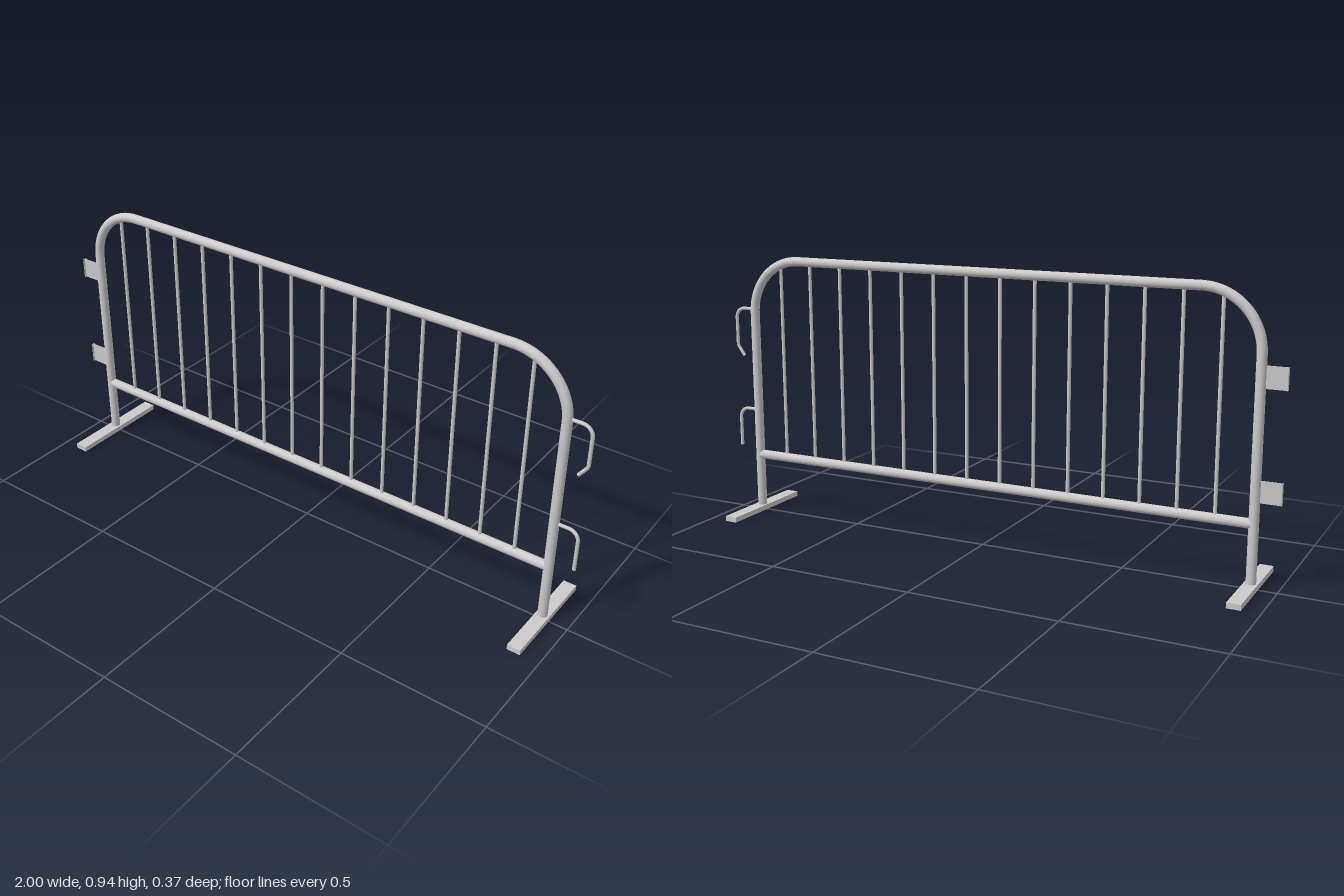
import * as THREE from 'three';

const material = new THREE.MeshStandardMaterial({ color: 0xcccccc });
const thin = new THREE.MeshStandardMaterial({ color: 0xcccccc, side: THREE.DoubleSide });

const LEFT_POST = 0.913, RIGHT_POST = -0.918, TUBE = 0.016;

function add(parent, name, geometry, x = 0, y = 0, z = 0, mat = material) {
  const mesh = new THREE.Mesh(geometry, mat);
  mesh.name = name;
  mesh.position.set(x, y, z);
  parent.add(mesh);
  return mesh;
}

// Polyline in the XY plane with each inner corner rounded off by a bend distance
function bentPath(points, bends) {
  const p = points.map(([x, y]) => new THREE.Vector3(x, y, 0));
  const path = new THREE.CurvePath();
  let from = p[0];
  for (let i = 1; i < p.length - 1; i++) {
    const d = bends[i - 1];
    const a = p[i].clone().add(p[i - 1].clone().sub(p[i]).setLength(d));
    const b = p[i].clone().add(p[i + 1].clone().sub(p[i]).setLength(d));
    path.add(new THREE.LineCurve3(from, a));
    path.add(new THREE.CubicBezierCurve3(a, a.clone().lerp(p[i], 0.5523), b.clone().lerp(p[i], 0.5523), b));
    from = b;
  }
  path.add(new THREE.LineCurve3(from, p[p.length - 1]));
  return path;
}

// Bent rod with a flat cap on its free end
function addHook(parent, name, points, bends) {
  const hook = new THREE.Group();
  hook.name = name;
  const path = bentPath(points, bends);
  add(hook, 'hookRod', new THREE.TubeGeometry(path, 48, 0.006, 10));
  const end = path.getPoint(1);
  const cap = add(hook, 'hookEnd', new THREE.CircleGeometry(0.006, 10), end.x, end.y, 0);
  cap.lookAt(end.clone().add(path.getTangent(1)));
  parent.add(hook);
}

// Foot: shallow tray turned upside down, hollow underneath
function addFoot(parent, name, x) {
  const foot = new THREE.Group();
  foot.name = name;
  const w = 0.0225, l = 0.187, wall = 0.006;
  const rectangle = (T, a, b) => new T([[-a, -b], [a, -b], [a, b], [-a, b]].map(c => new THREE.Vector2(...c)));
  const rim = rectangle(THREE.Shape, w, l);
  rim.holes.push(rectangle(THREE.Path, w - wall, l - wall));
  const walls = new THREE.ExtrudeGeometry(rim, { depth: 0.014, bevelEnabled: false }).rotateX(-Math.PI / 2);
  add(foot, 'footWalls', walls);
  add(foot, 'footTop', new THREE.BoxGeometry(w * 2, 0.004, l * 2), 0, 0.016, 0);
  foot.position.x = x;
  parent.add(foot);
}

export function createModel() {
  const barrier = new THREE.Group();
  barrier.name = 'crowdBarrier';

  // Outer hoop: two posts and the top rail bent from one tube
  const hoop = bentPath(
    [[RIGHT_POST, 0.012], [RIGHT_POST, 0.919], [LEFT_POST, 0.919], [LEFT_POST, 0.012]],
    [0.19, 0.19]
  );
  add(barrier, 'frameTube', new THREE.TubeGeometry(hoop, 220, TUBE, 20));

  // Lower rail
  const rail = new THREE.CylinderGeometry(TUBE, TUBE, LEFT_POST - RIGHT_POST - 0.012, 20).rotateZ(Math.PI / 2);
  add(barrier, 'lowerRail', rail, (LEFT_POST + RIGHT_POST) / 2, 0.208, 0);

  // Upright infill bars
  const bars = new THREE.Group();
  bars.name = 'infillBars';
  const barGeometry = new THREE.CylinderGeometry(0.006, 0.006, 0.7, 10);
  for (let i = 0; i < 14; i++) add(bars, 'bar', barGeometry, -0.797 + i * 0.1224, 0.56, 0);
  barrier.add(bars);

  // Feet
  addFoot(barrier, 'leftFoot', LEFT_POST + 0.001);
  addFoot(barrier, 'rightFoot', RIGHT_POST);

  // Linking hooks on the left post
  addHook(barrier, 'upperHook',
    [[LEFT_POST, 0.741], [0.994, 0.741], [0.994, 0.606], [0.967, 0.569]], [0.034, 0.006]);
  addHook(barrier, 'lowerHook',
    [[LEFT_POST, 0.374], [0.994, 0.374], [0.994, 0.235]], [0.034]);

  // Receiving plates on the right post, each with a narrow end lip
  for (const [name, y] of [['upperPlate', 0.66], ['lowerPlate', 0.31]]) {
    const plate = new THREE.Group();
    plate.name = name;
    add(plate, 'plateWeb', new THREE.BoxGeometry(0.08, 0.07, 0.002), -0.96, y, 0, thin);
    add(plate, 'plateLip', new THREE.BoxGeometry(0.002, 0.07, 0.014), -0.999, y, 0, thin);
    barrier.add(plate);
  }

  return barrier;
}
